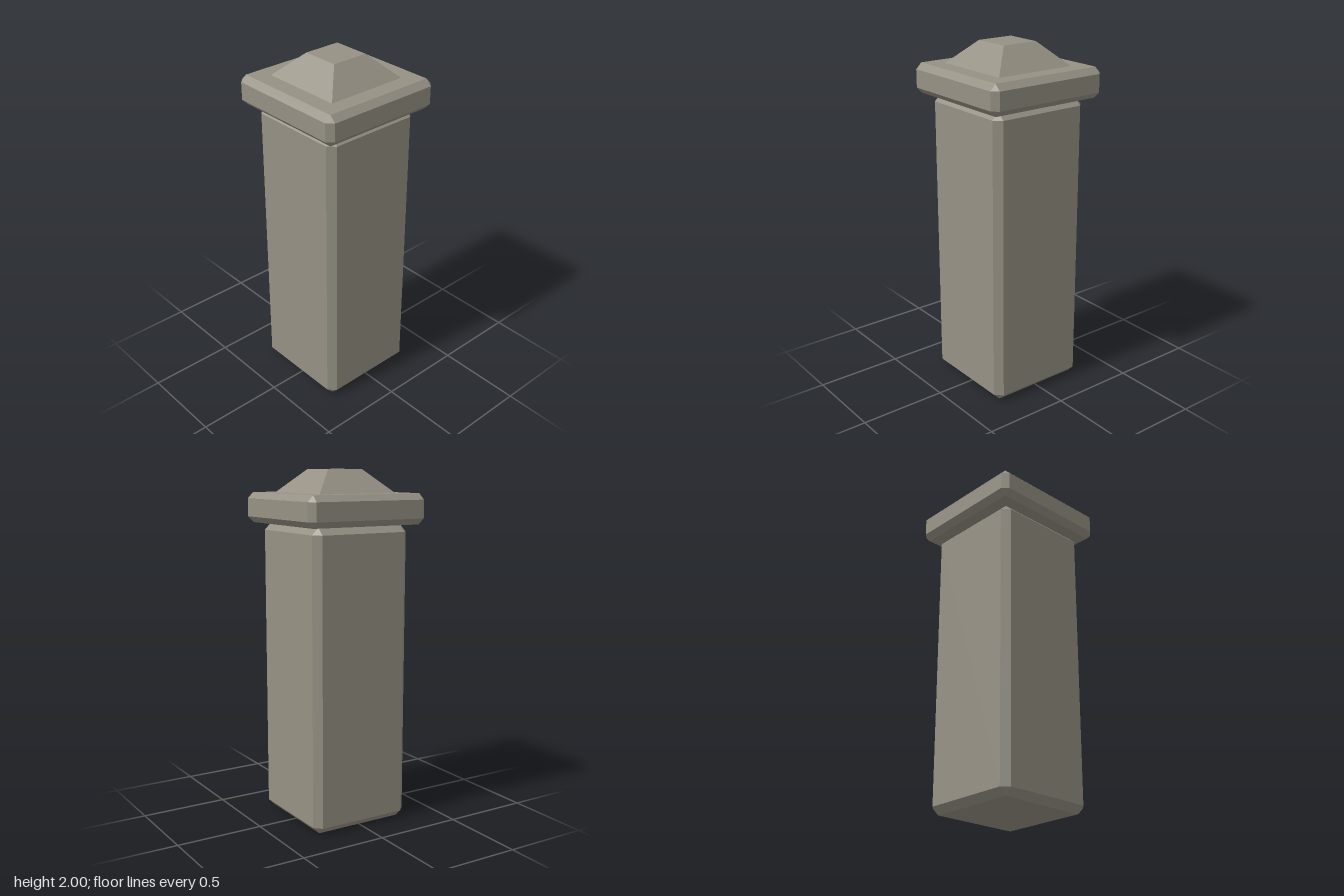
import * as THREE from 'three';
import { ConvexGeometry } from 'three/addons/geometries/ConvexGeometry.js';

const stone = new THREE.MeshStandardMaterial({ color: 0x969184 });
stone.name = 'weathered stone';

// Box with every edge and corner cut flat, spanning y0..y1
function chamferedBox(half, y0, y1, cut) {
  const h = (y1 - y0) / 2;
  const points = [];
  for (const sx of [-1, 1]) for (const sy of [-1, 1]) for (const sz of [-1, 1]) {
    for (const axis of [0, 1, 2]) {
      const [cx, cy, cz] = [0, 1, 2].map((i) => (i === axis ? 0 : cut));
      points.push(new THREE.Vector3(sx * (half - cx), sy * (h - cy), sz * (half - cz)));
    }
  }
  return new ConvexGeometry(points).translate(0, (y0 + y1) / 2, 0);
}

// Square pyramid with its tip cut off
function frustum(bottom, top, y0, y1) {
  const points = [];
  for (const [r, y] of [[bottom, y0], [top, y1]]) {
    for (const sx of [-1, 1]) for (const sz of [-1, 1]) {
      points.push(new THREE.Vector3(sx * r, y, sz * r));
    }
  }
  return new ConvexGeometry(points);
}

export function createModel() {
  const group = new THREE.Group();
  group.name = 'stonePost';
  const add = (name, geometry) => {
    const mesh = new THREE.Mesh(geometry, stone);
    mesh.name = name;
    group.add(mesh);
  };

  add('shaft', chamferedBox(0.303, 0, 1.7, 0.04));
  add('capSlab', chamferedBox(0.371, 1.7, 1.87, 0.034));
  add('capPeak', frustum(0.243, 0.109, 1.87, 2));
  return group;
}
